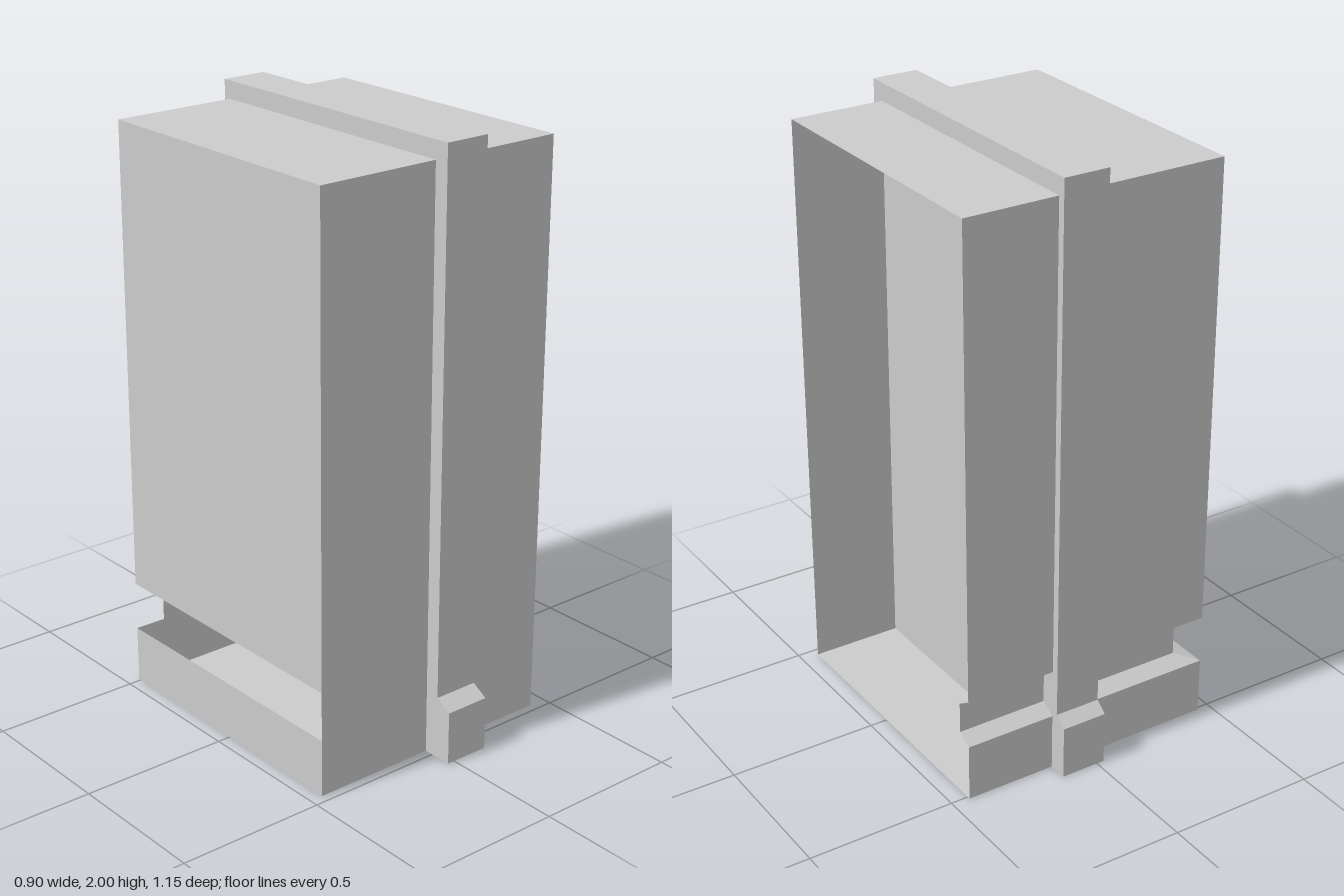
import * as THREE from 'three';

const material = new THREE.MeshStandardMaterial({ color: 0xcccccc, flatShading: true, side: THREE.DoubleSide });

// Case limits
const L = -0.455, RB = 0.44, RT = 0.45, F = 0.47, B = -0.51, T = 1.94;
const rightAt = (y) => RB + (RT - RB) * (y / T);

// Thin four-cornered sheet, corners anticlockwise seen from outside
function sheet(name, a, b, c, d) {
  const g = new THREE.BufferGeometry();
  g.setAttribute('position', new THREE.Float32BufferAttribute([a, b, c, a, c, d].flat(), 3));
  g.computeVertexNormals();
  const mesh = new THREE.Mesh(g, material);
  mesh.name = name;
  return mesh;
}

// Upright centre slab that runs through the case and ends in two bevelled feet
function centreSlab() {
  const s = new THREE.Shape([
    [0.575, 0], [0.575, 0.18], [0.52, 0.212], [0.52, 2],
    [-0.535, 2], [-0.535, 0.212], [-0.575, 0.18], [-0.575, 0],
  ].map(([z, y]) => new THREE.Vector2(z, y)));
  const g = new THREE.ExtrudeGeometry(s, { depth: 0.156, bevelEnabled: false });
  g.rotateY(-Math.PI / 2).translate(0.13, 0, 0);
  const mesh = new THREE.Mesh(g, material);
  mesh.name = 'centreSlab';
  return mesh;
}

// Back wall with a recessed band: each row is height, depth, inset of the free end
function backWall() {
  const group = new THREE.Group();
  group.name = 'backWall';
  const rows = [[0, 0, 0], [0.193, 0, 0], [0.222, 0.05, 0.075], [0.328, 0.05, 0.075], [0.358, 0, 0], [T, 0, 0]];
  const names = ['lowerBackPanel', 'lowerLedge', 'recessedBand', 'upperLedge', 'upperBackPanel'];
  names.forEach((name, i) => {
    const [y0, d0, e0] = rows[i], [y1, d1, e1] = rows[i + 1];
    group.add(sheet(name,
      [rightAt(y0), y0, B + d0], [L + e0, y0, B + d0],
      [L + e1, y1, B + d1], [rightAt(y1), y1, B + d1]));
  });
  return group;
}

export function createModel() {
  const model = new THREE.Group();
  model.name = 'slottedCase';

  // Case sheets: the +x side is left open
  model.add(
    sheet('frontWall', [L, 0, F], [RB, 0, F], [RT, T, F], [L, T, F]),
    sheet('top', [L, T, F], [RT, T, F], [RT, T, B], [L, T, B]),
    sheet('floor', [L, 0, B], [RB, 0, B], [RB, 0, F], [L, 0, F]),
  );

  // Side wall in two panels with an open slot between them
  [['lowerSidePanel', 0, 0.193], ['upperSidePanel', 0.358, T]].forEach(([name, y0, y1]) =>
    model.add(sheet(name, [L, y0, B], [L, y0, F], [L, y1, F], [L, y1, B])));

  model.add(backWall(), centreSlab());
  return model;
}
